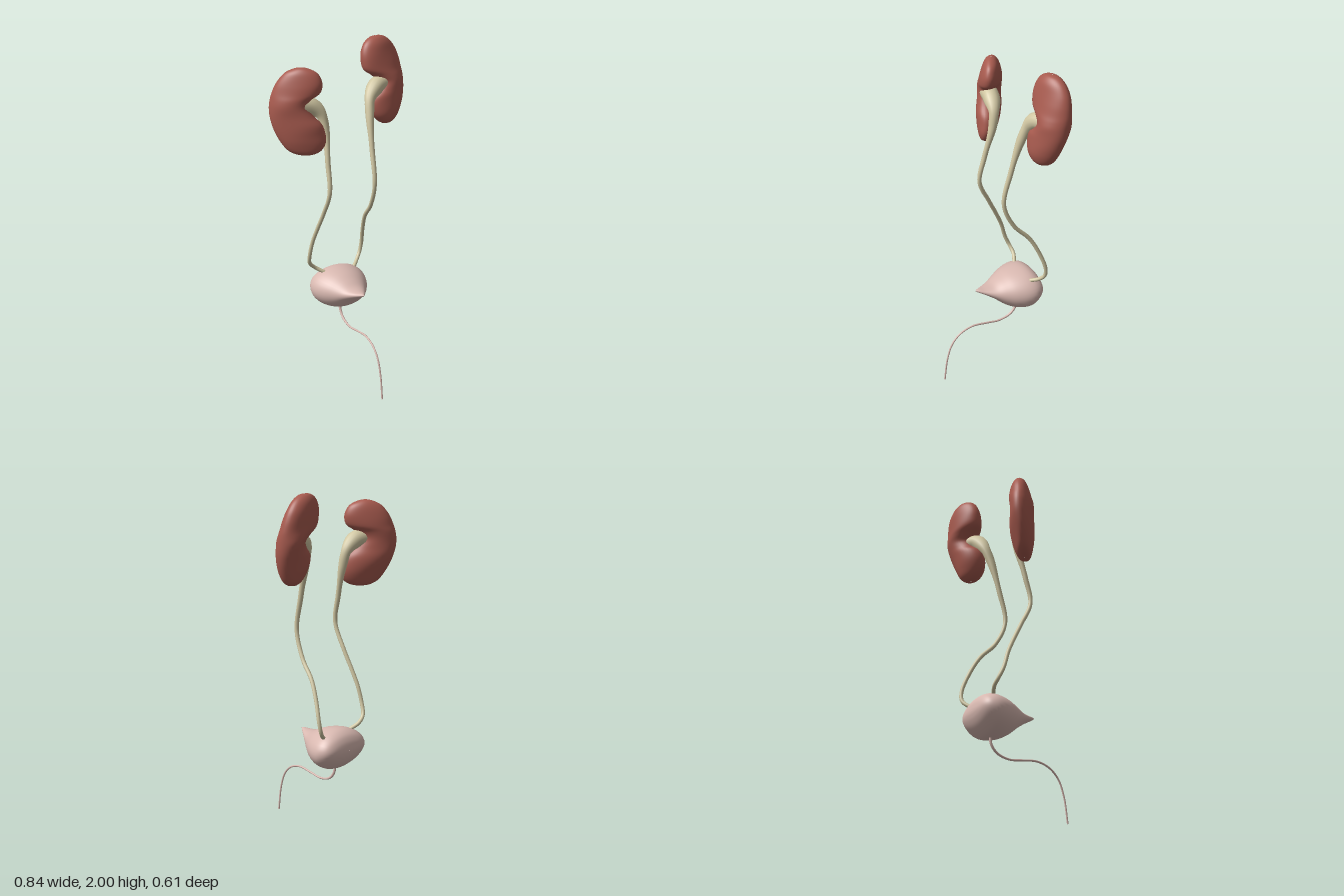
import * as THREE from 'three';

const SEG = 40;

// Catmull-Rom interpolation through rows of numbers, t in 0..1
function sampleRows(rows, t) {
  const n = rows.length - 1;
  const f = t * n;
  const i = Math.min(Math.floor(f), n - 1);
  const k = f - i;
  const at = (j) => rows[Math.max(0, Math.min(n, j))];
  return rows[i].map((_, c) => {
    const [a, b, d, e] = [at(i - 1)[c], at(i)[c], at(i + 1)[c], at(i + 2)[c]];
    return b + 0.5 * k * (d - a + k * (2 * a - 5 * b + 4 * d - e + k * (3 * (b - d) + e - a)));
  });
}

// Closed smooth skin over rings; point(row, angle) places each vertex
function loft(rows, steps, point) {
  const pos = [], index = [];
  for (let i = 0; i <= steps; i++) {
    const row = sampleRows(rows, i / steps);
    for (let j = 0; j < SEG; j++) pos.push(...point(row, (j / SEG) * Math.PI * 2));
  }
  for (let i = 0; i < steps; i++) {
    for (let j = 0; j < SEG; j++) {
      const a = i * SEG + j, c = i * SEG + ((j + 1) % SEG);
      index.push(a, a + SEG, c, c, a + SEG, c + SEG);
    }
  }
  const g = new THREE.BufferGeometry();
  g.setAttribute('position', new THREE.Float32BufferAttribute(pos, 3));
  g.setIndex(index);
  g.computeVertexNormals();
  return g;
}

// Tube whose radius follows a list of [fraction of length, radius]
function taperedTube(points, radii, sides = 14) {
  const curve = new THREE.CatmullRomCurve3(points.map((p) => new THREE.Vector3(...p)));
  const steps = 120;
  const g = new THREE.TubeGeometry(curve, steps, 1, sides);
  const p = g.attributes.position;
  const v = new THREE.Vector3();
  for (let i = 0; i <= steps; i++) {
    const u = i / steps;
    let k = 0;
    while (k < radii.length - 2 && u > radii[k + 1][0]) k++;
    const [u0, r0] = radii[k], [u1, r1] = radii[k + 1];
    const r = THREE.MathUtils.lerp(r0, r1, THREE.MathUtils.smoothstep(u, u0, u1));
    const centre = curve.getPointAt(u);
    for (let j = 0; j <= sides; j++) {
      const n = i * (sides + 1) + j;
      v.fromBufferAttribute(p, n).sub(centre).multiplyScalar(r).add(centre);
      p.setXYZ(n, v.x, v.y, v.z);
    }
  }
  return g;
}

// Kidney rows: y, x min, x max, z centre, half thickness; skew turns it about y
function kidney(rows, xMid, skew) {
  return loft(rows, 72, ([y, x0, x1, zc, h], a) => {
    const x = (x0 + x1) / 2 + ((x1 - x0) / 2) * Math.cos(a);
    const lump = 1 + 0.03 * Math.sin(y * 31 + a * 2);
    return [x, y, zc + h * lump * Math.sin(a) + skew * (x - xMid)];
  });
}

export function createModel() {
  const group = new THREE.Group();
  const material = (name, color, side = THREE.FrontSide) =>
    new THREE.MeshStandardMaterial({ name, color, side });
  const red = material('kidneyRed', 0xa85b4f);
  const cream = material('ureterCream', 0xd0c6a2, THREE.DoubleSide);
  const pink = material('bladderPink', 0xd8b8b0, THREE.DoubleSide);
  const add = (name, geometry, mat) => {
    const mesh = new THREE.Mesh(geometry, mat);
    mesh.name = name;
    group.add(mesh);
  };

  // Kidneys, bean-shaped with the notch facing the middle
  add('leftKidney', kidney([
    [1.5, 0.28, 0.286, -0.165, 0.002],
    [1.507, 0.25, 0.32, -0.165, 0.03],
    [1.53, 0.217, 0.35, -0.166, 0.052],
    [1.57, 0.187, 0.376, -0.168, 0.066],
    [1.62, 0.174, 0.397, -0.175, 0.075],
    [1.67, 0.183, 0.41, -0.183, 0.08],
    [1.71, 0.22, 0.415, -0.19, 0.08],
    [1.75, 0.238, 0.416, -0.198, 0.08],
    [1.785, 0.205, 0.415, -0.206, 0.078],
    [1.82, 0.158, 0.411, -0.214, 0.075],
    [1.87, 0.145, 0.4, -0.222, 0.07],
    [1.92, 0.148, 0.38, -0.229, 0.06],
    [1.965, 0.17, 0.345, -0.233, 0.046],
    [1.992, 0.208, 0.302, -0.235, 0.026],
    [2.0, 0.25, 0.258, -0.235, 0.002],
  ], 0.28, -0.15), red);
  add('rightKidney', kidney([
    [1.415, -0.27, -0.262, -0.14, 0.002],
    [1.422, -0.312, -0.22, -0.14, 0.03],
    [1.445, -0.35, -0.182, -0.143, 0.05],
    [1.49, -0.38, -0.16, -0.148, 0.066],
    [1.54, -0.402, -0.16, -0.155, 0.075],
    [1.59, -0.416, -0.175, -0.16, 0.08],
    [1.64, -0.423, -0.215, -0.164, 0.08],
    [1.69, -0.423, -0.24, -0.166, 0.08],
    [1.73, -0.417, -0.225, -0.168, 0.078],
    [1.765, -0.408, -0.178, -0.17, 0.074],
    [1.81, -0.39, -0.164, -0.171, 0.068],
    [1.85, -0.365, -0.172, -0.172, 0.058],
    [1.88, -0.338, -0.192, -0.172, 0.044],
    [1.9, -0.3, -0.228, -0.172, 0.025],
    [1.908, -0.268, -0.26, -0.172, 0.002],
  ], -0.3, 0.48), red);

  // Ureters, each opening into a funnel inside the kidney notch
  const ureterRadii = [[0, 0.05], [0.05, 0.048], [0.13, 0.027], [0.3, 0.015], [0.5, 0.012], [1, 0.011]];
  add('leftUreter', taperedTube([
    [0.27, 1.745, -0.18], [0.215, 1.73, -0.16], [0.165, 1.675, -0.14], [0.143, 1.58, -0.108],
    [0.13, 1.4, -0.06], [0.125, 1.2, -0.02], [0.135, 1.05, -0.08], [0.15, 0.95, -0.17],
    [0.167, 0.85, -0.225], [0.182, 0.73, -0.267], [0.17, 0.67, -0.27], [0.14, 0.635, -0.25],
    [0.1, 0.612, -0.215],
  ], ureterRadii), cream);
  add('rightUreter', taperedTube([
    [-0.27, 1.7, -0.14], [-0.215, 1.685, -0.13], [-0.165, 1.635, -0.118], [-0.148, 1.54, -0.1],
    [-0.158, 1.36, -0.055], [-0.165, 1.2, -0.025], [-0.172, 1.05, -0.09], [-0.182, 0.95, -0.14],
    [-0.192, 0.85, -0.185], [-0.197, 0.75, -0.215], [-0.184, 0.69, -0.238], [-0.145, 0.652, -0.243],
    [-0.095, 0.62, -0.22],
  ], ureterRadii), cream);

  // Bladder rows from the front tip to the back: z, half width, bottom, top
  add('bladder', loft([
    [0.09, 0.001, 0.572, 0.576],
    [0.07, 0.017, 0.557, 0.579],
    [0.03, 0.044, 0.533, 0.578],
    [-0.02, 0.078, 0.497, 0.585],
    [-0.07, 0.113, 0.452, 0.608],
    [-0.12, 0.145, 0.421, 0.629],
    [-0.17, 0.167, 0.406, 0.641],
    [-0.215, 0.175, 0.407, 0.645],
    [-0.25, 0.168, 0.428, 0.638],
    [-0.28, 0.148, 0.46, 0.618],
    [-0.298, 0.115, 0.492, 0.588],
    [-0.306, 0.065, 0.518, 0.557],
    [-0.308, 0.001, 0.535, 0.537],
  ], 60, ([z, w, y0, y1], a) =>
    [-0.01 + w * Math.cos(a), (y0 + y1) / 2 + ((y1 - y0) / 2) * Math.sin(a), z]), pink);

  // Urethra, an S-curve running forward and down
  add('urethra', taperedTube([
    [-0.012, 0.43, -0.192], [-0.012, 0.37, -0.183], [-0.012, 0.325, -0.145], [-0.012, 0.304, -0.07],
    [-0.012, 0.314, 0.01], [-0.012, 0.325, 0.11], [-0.012, 0.3, 0.19], [-0.012, 0.245, 0.245],
    [-0.012, 0.15, 0.28], [-0.012, 0, 0.302],
  ], [[0, 0.008], [0.3, 0.006], [1, 0.005]], 10), pink);

  return group;
}
